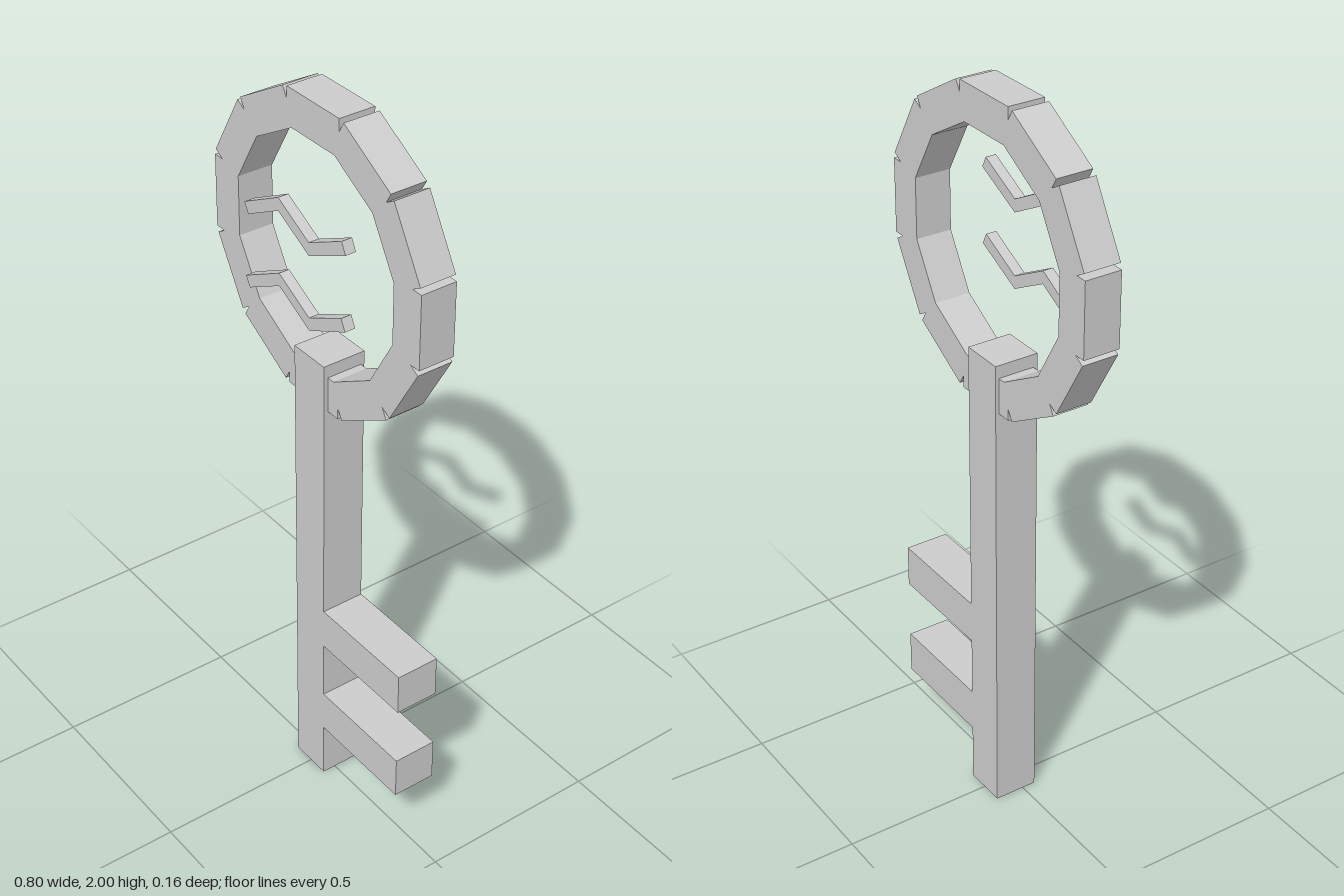
import * as THREE from 'three';

export function createModel() {
  const model = new THREE.Group();
  model.name = 'key';
  const grey = new THREE.MeshStandardMaterial({ color: 0xcccccc });
  grey.name = 'light grey';

  function box(name, x0, x1, y0, y1, z0, z1, parent = model) {
    const mesh = new THREE.Mesh(new THREE.BoxGeometry(x1 - x0, y1 - y0, z1 - z0), grey);
    mesh.position.set((x0 + x1) / 2, (y0 + y1) / 2, (z0 + z1) / 2);
    mesh.name = name;
    parent.add(mesh);
    return mesh;
  }

  // Shaft and two teeth
  const back = -0.083, front = 0.038;
  box('shaft', -0.061, 0.058, 0, 1.332, back, front);
  box('lowerTooth', 0.058, 0.373, 0.165, 0.286, back, front);
  box('upperTooth', 0.058, 0.373, 0.455, 0.573, back, front);

  // Ring handle: twelve blocks, leaving small notches at the outer joints
  const ring = new THREE.Group();
  ring.name = 'ringHandle';
  ring.position.set(-0.001, 1.6, 0);
  model.add(ring);
  for (let i = 0; i < 12; i++) {
    const pivot = new THREE.Group();
    pivot.name = 'ringSegment';
    pivot.rotation.z = (i * Math.PI) / 6;
    box('ringBlock', -0.099, 0.099, 0.303, 0.401, -0.073, 0.026, pivot);
    ring.add(pivot);
  }

  // Two zigzag strips floating in front of the ring opening
  const outline = [
    [-0.2, 0.077], [-0.185, 0.05], [-0.062, 0.115], [0.057, 0.052],
    [0.196, 0.119], [0.181, 0.149], [0.057, 0.087], [-0.062, 0.15],
  ].map(([x, y]) => new THREE.Vector2(x, y));
  const zigzag = new THREE.ExtrudeGeometry(new THREE.Shape(outline), { depth: 0.029, bevelEnabled: false });
  for (const [name, y] of [['upperWave', 1.601], ['lowerWave', 1.399]]) {
    const wave = new THREE.Mesh(zigzag, grey);
    wave.name = name;
    wave.position.set(0, y, 0.051);
    model.add(wave);
  }
  return model;
}
